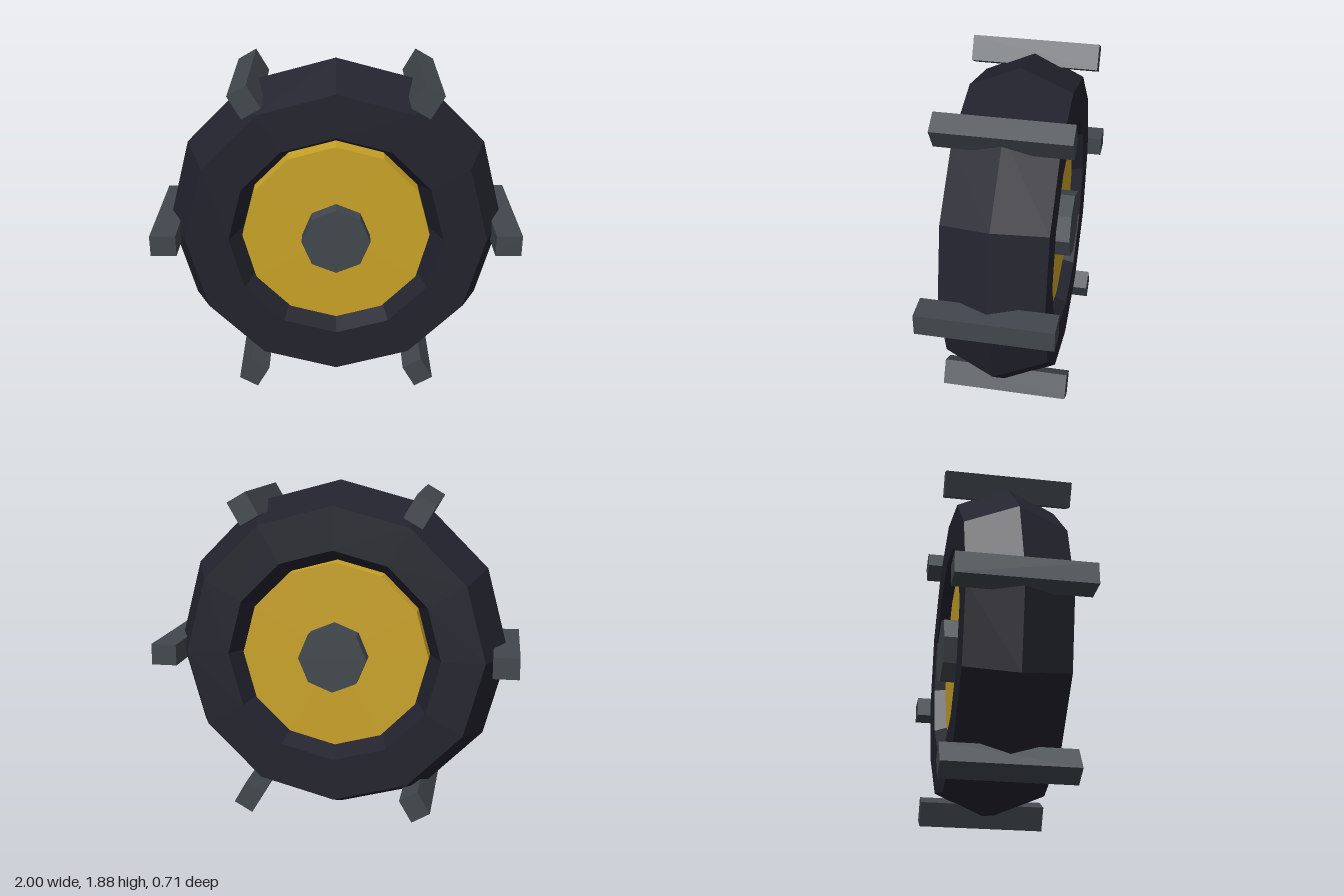
import * as THREE from 'three';

export function createModel() {
  const mat = (name, color) => {
    const m = new THREE.MeshStandardMaterial({ color, flatShading: true });
    m.name = name;
    return m;
  };
  const rubber = mat('dark rubber', 0x22222d);
  const gold = mat('gold rim', 0xc9a227);
  const steel = mat('grey steel', 0x41474d);

  const model = new THREE.Group();
  model.name = 'wheel';
  const wheel = new THREE.Group();
  wheel.name = 'wheelAssembly';
  wheel.position.y = 0.944;
  model.add(wheel);

  const add = (name, geometry, material) => {
    const mesh = new THREE.Mesh(geometry, material);
    mesh.name = name;
    wheel.add(mesh);
    return mesh;
  };
  // Cylinder lying along the z axle
  const disc = (radius, depth, sides) =>
    new THREE.CylinderGeometry(radius, radius, depth, sides).rotateX(Math.PI / 2);

  // Tyre: hexagonal section, widened along the axle
  add('tyre', new THREE.TorusGeometry(0.704, 0.236, 6, 12).scale(1, 1, 1.345), rubber);

  // Rim disc and axle hub, showing on both sides
  add('rim', disc(0.515, 0.43, 12), gold);
  add('hub', disc(0.187, 0.61, 8), steel);

  // Six tread bars around the tyre
  for (let i = 0; i < 6; i++) {
    const a = (i * Math.PI) / 3;
    const bar = add('treadBar' + (i + 1), new THREE.BoxGeometry(0.14, 0.116, 0.706), steel);
    bar.position.set(0.93 * Math.cos(a), 0.93 * Math.sin(a), 0);
    bar.rotation.z = a;
  }
  return model;
}
